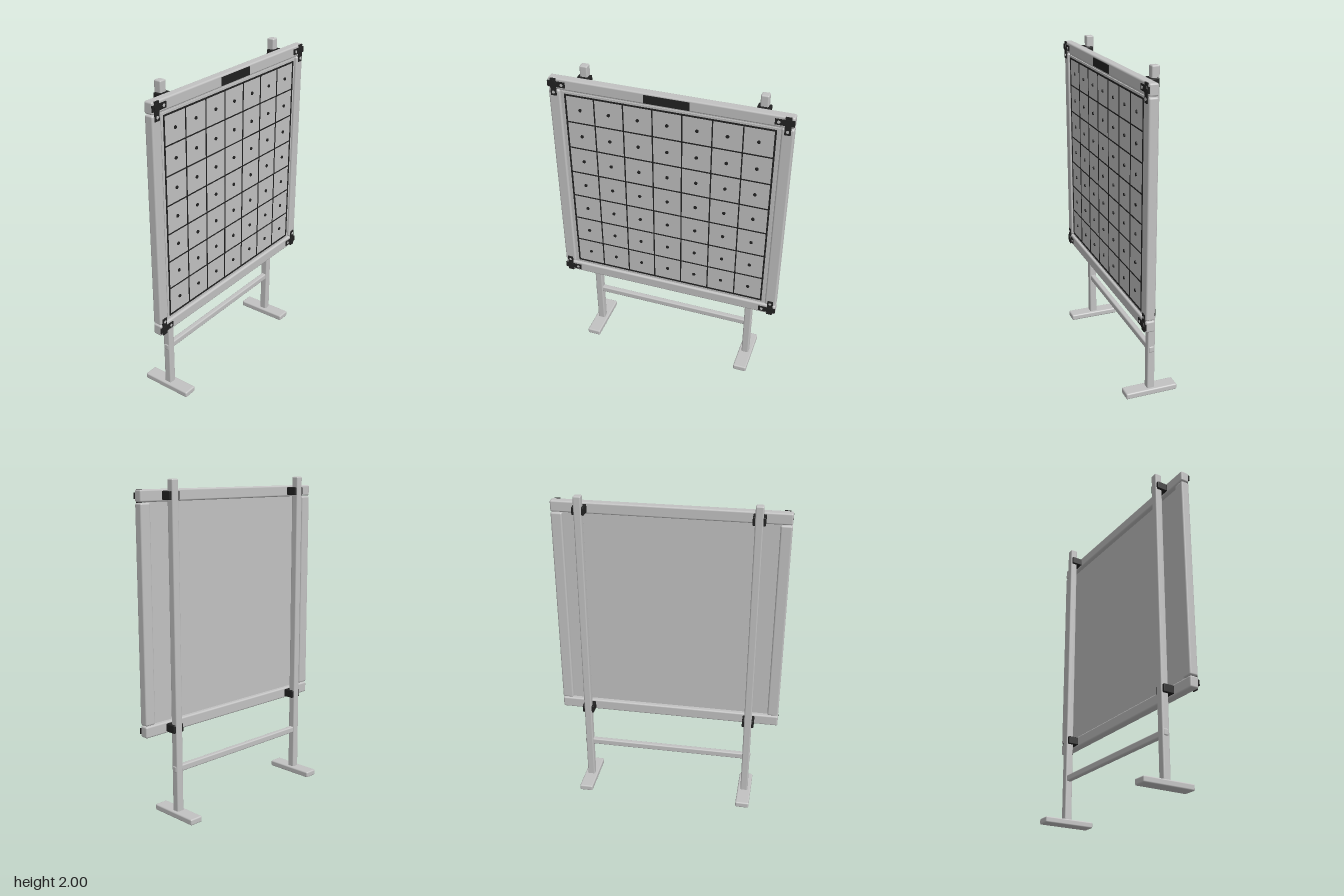
import * as THREE from 'three';
import { RoundedBoxGeometry } from 'three/addons/geometries/RoundedBoxGeometry.js';

export function createModel() {
  const model = new THREE.Group();
  const grey = new THREE.MeshStandardMaterial({ color: 0xc2c2c2 });
  grey.name = 'light grey';
  const black = new THREE.MeshStandardMaterial({ color: 0x222222 });
  black.name = 'black';

  const add = (name, geometry, material, x, y, z, parent = model) => {
    const mesh = new THREE.Mesh(geometry, material);
    mesh.name = name;
    mesh.position.set(x, y, z);
    parent.add(mesh);
    return mesh;
  };
  const rounded = (w, h, d, r) => new RoundedBoxGeometry(w, h, d, 2, r);
  const box = (w, h, d) => new THREE.BoxGeometry(w, h, d);
  const disc = (r, depth, sides) => new THREE.CylinderGeometry(r, r, depth, sides).rotateX(Math.PI / 2);

  const midY = 1.232;      // board centre height
  const railY = 0.677;     // rail offset from the board centre
  const frontZ = 0.107;    // front of the frame
  const panelZ = 0.097;    // front of the panel

  // Stand: feet, posts and the clamps that carry the board
  for (const side of [-1, 1]) {
    const x = side * 0.525;
    add('foot', rounded(0.087, 0.038, 0.33, 0.009), grey, x, 0.019, 0);
    add('post', rounded(0.047, 1.97, 0.047, 0.008), grey, x, 1.015, 0);
    for (const v of [-1, 1]) {
      add('clamp', rounded(0.075, 0.05, 0.07, 0.005), black, x, midY + v * railY, 0.019);
    }
  }
  add('crossbar', rounded(1.106, 0.04, 0.034, 0.008), grey, 0, 0.303, 0);

  // Board frame
  for (const s of [-1, 1]) {
    add('rail', rounded(1.424, 0.069, 0.055, 0.01), grey, 0, midY + s * railY, 0.0795);
    add('stile', rounded(0.069, 1.276, 0.055, 0.01), grey, s * 0.6775, midY, 0.0795);
  }

  // Recessed panel with a raised face
  add('backPanel', box(1.31, 1.31, 0.01), grey, 0, midY, 0.086);
  add('frontPanel', box(1.272, 1.262, 0.008), grey, 0, midY, panelZ - 0.004);

  // Seven by seven grid with a peg in every cell
  const cells = 7, pitch = 0.1755, half = cells * pitch / 2;
  const grid = new THREE.Group();
  grid.name = 'grid';
  grid.position.set(0, midY - 0.001, panelZ);
  model.add(grid);
  for (let i = 0; i <= cells; i++) {
    const p = i * pitch - half;
    const w = i === 0 || i === cells ? 0.01 : 0.007;
    add('verticalLine', box(w, 2 * half + 0.01, 0.004), black, p, 0, 0.001, grid);
    add('horizontalLine', box(2 * half + 0.01, w, 0.004), black, 0, p, 0.001, grid);
  }
  const pegGeometry = disc(0.01, 0.008, 10);
  for (let i = 0; i < cells; i++) {
    for (let j = 0; j < cells; j++) {
      add('peg', pegGeometry, black, (i + 0.5) * pitch - half, (j + 0.5) * pitch - half, 0.002, grid);
    }
  }

  // Blank plate on the top rail
  add('topPlate', box(0.265, 0.05, 0.005), black, 0, midY + railY - 0.001, frontZ + 0.002);

  // Corner brackets: two crossed straps, a centre boss and two screws
  for (const sx of [-1, 1]) {
    for (const sy of [-1, 1]) {
      const bracket = new THREE.Group();
      bracket.name = 'cornerBracket';
      bracket.position.set(sx * 0.678, midY + sy * railY, frontZ);
      model.add(bracket);
      add('horizontalStrap', box(0.108, 0.035, 0.008), black, -sx * 0.019, 0, 0.001, bracket);
      add('verticalStrap', box(0.035, 0.108, 0.008), black, 0, -sy * 0.019, 0.001, bracket);
      add('boss', disc(0.022, 0.012, 16), black, 0, 0, 0.003, bracket);
      add('screw', disc(0.009, 0.008, 12), grey, -sx * 0.052, 0, 0.003, bracket);
      add('screw', disc(0.009, 0.008, 12), grey, 0, -sy * 0.052, 0.003, bracket);
    }
  }
  return model;
}
